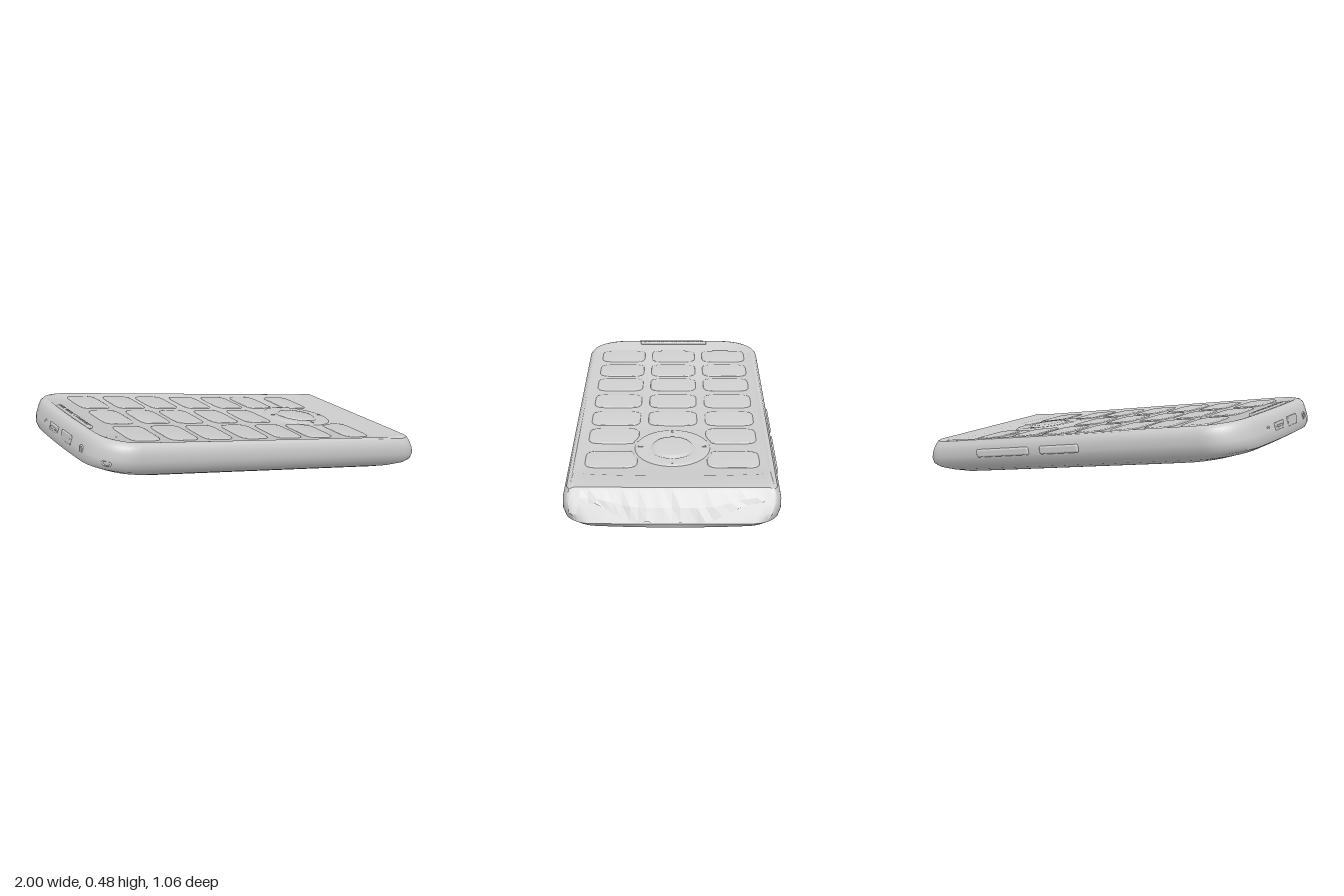
import * as THREE from 'three';
import { toCreasedNormals } from 'three/addons/utils/BufferGeometryUtils.js';
import { RoundedBoxGeometry } from 'three/addons/geometries/RoundedBoxGeometry.js';

const grey = new THREE.MeshStandardMaterial({ color: 0xcccccc });
const cutAt = (y) => 0.919 + (0.012 - y) * 0.786; // sloping cut across the +x end

// Rounded outline with bowed ends, counter-clockwise in (x, z)
function outline(x0, x1, w, rl, rr) {
  const pts = [];
  const corner = (cx, cz, r, start) => {
    for (let i = 0; i <= 10; i++) {
      const a = start + (i / 10) * Math.PI / 2;
      pts.push([cx + r * Math.cos(a), cz + r * Math.sin(a)]);
    }
  };
  const end = (x, from, to) => {
    for (let i = 1; i < 8; i++) pts.push([x, from + (to - from) * i / 8]);
  };
  corner(x1 - rr, w - rr, rr, 0);
  corner(x0 + rl, w - rl, rl, Math.PI / 2);
  end(x0, w - rl, rl - w);
  corner(x0 + rl, rl - w, rl, Math.PI);
  corner(x1 - rr, rr - w, rr, Math.PI * 1.5);
  end(x1, rr - w, w - rr);
  const mid = (x0 + x1) / 2, half = (x1 - x0) / 2;
  return pts.map(([x, z]) => {
    const t = (x - mid) / half;
    return [x - 0.025 * t ** 9 * (z / w) ** 2, z];
  });
}

// Shell lofted from outlines stacked from the belly up to the key panel
function shellGeometry() {
  const levels = [ // y, x0, x1, half width, left radius, right radius
    [-0.207, -0.58, 0.79, 0.28, 0.16, 0.12],
    [-0.204, -0.68, 0.84, 0.35, 0.18, 0.13],
    [-0.192, -0.83, 0.90, 0.415, 0.20, 0.14],
    [-0.172, -0.925, 0.96, 0.465, 0.21, 0.14],
    [-0.150, -0.98, 1.02, 0.495, 0.21, 0.13],
    [-0.125, -0.99, 1.04, 0.515, 0.21, 0.12],
    [-0.090, -0.988, 1.04, 0.526, 0.21, 0.12],
    [-0.050, -0.980, 1.02, 0.527, 0.21, 0.11],
    [-0.022, -0.972, 1.00, 0.521, 0.20, 0.10],
    [-0.006, -0.958, 0.98, 0.508, 0.19, 0.09],
    [0.000, -0.938, 0.96, 0.492, 0.18, 0.08],
    [-0.001, -0.928, 0.79, 0.485, 0.17, 0.06],
    [-0.007, -0.918, 0.775, 0.474, 0.16, 0.05],
  ];
  const pos = [], idx = [];
  let n = 0;
  levels.forEach(([y, x0, x1, w, rl, rr], k) => {
    const ring = outline(x0, x1, w, rl, rr);
    n = ring.length;
    for (const [x, z] of ring) {
      const lift = k > 8 ? 0.012 * THREE.MathUtils.smoothstep(x, 0.84, 0.92) : 0;
      pos.push(Math.min(x, cutAt(y + lift)), y + lift, z);
    }
  });
  const top = (levels.length - 1) * n, c = levels.length * n;
  pos.push(0, levels[0][0], 0, 0, levels.at(-1)[0], 0);
  for (let j = 0; j < n; j++) {
    const j1 = (j + 1) % n;
    for (let k = 0; k < levels.length - 1; k++) {
      const a = k * n + j, b = k * n + j1;
      idx.push(a, a + n, b, b, a + n, b + n);
    }
    idx.push(c, j, j1, c + 1, top + j1, top + j);
  }
  const g = new THREE.BufferGeometry();
  g.setAttribute('position', new THREE.Float32BufferAttribute(pos, 3));
  g.setIndex(idx);
  return toCreasedNormals(g, 0.6);
}

// Uneven facets of the cut end, deeper in the middle than at the sides
function cutFaceGeometry() {
  let seed = 7;
  const rnd = () => (seed = (seed * 16807) % 2147483647) / 2147483647;
  const pos = [], idx = [], strips = 22;
  for (let i = 0; i <= strips; i++) {
    const z = -0.44 + 0.88 * i / strips;
    const low = -0.125 + 0.075 * THREE.MathUtils.smoothstep(Math.abs(z), 0.14, 0.42);
    [0.008, low * 0.5, low].forEach((y, k) => {
      const out = k === 1 ? 0.003 + 0.007 * rnd() : 0.001;
      pos.push(cutAt(y) + out, y + (k === 2 ? 0.012 * rnd() : 0), z);
    });
    if (i < strips) for (let k = 0; k < 2; k++) {
      const a = i * 3 + k;
      idx.push(a, a + 3, a + 1, a + 1, a + 3, a + 4);
    }
  }
  const g = new THREE.BufferGeometry();
  g.setAttribute('position', new THREE.Float32BufferAttribute(pos, 3));
  g.setIndex(idx);
  g.computeVertexNormals();
  return g;
}

// Soft key pad; points falling inside the control wheel are pushed clear of it
const wheelX = 0.492, wheelR = 0.19;
function keyGeometry(cx, cz, w, d) {
  const bevel = 0.012, pts = [];
  for (let i = 0; i < 48; i++) {
    const a = (i / 48) * Math.PI * 2, c = Math.cos(a), s = Math.sin(a);
    const p = new THREE.Vector2(
      cx + (w / 2 - bevel) * Math.sign(c) * Math.abs(c) ** 0.36,
      -cz + (d / 2 - bevel) * Math.sign(s) * Math.abs(s) ** 0.36);
    const dx = p.x - wheelX, r = Math.hypot(dx, p.y), clear = wheelR + 0.03;
    if (r < clear) p.set(wheelX + dx * clear / r, p.y * clear / r);
    pts.push(p);
  }
  const g = new THREE.ExtrudeGeometry(new THREE.Shape(pts), {
    depth: 0.004, bevelSize: bevel, bevelThickness: 0.006, bevelSegments: 3,
  });
  return toCreasedNormals(g.rotateX(-Math.PI / 2), 0.7);
}

export function createModel() {
  const model = new THREE.Group();
  model.name = 'handset';
  const body = new THREE.Group();
  body.name = 'tiltedBody';
  body.rotation.z = -0.155;
  body.position.y = 0.335;
  model.add(body);
  const add = (name, geo, x = 0, y = 0, z = 0, mat = grey) => {
    const m = new THREE.Mesh(geo, mat);
    m.name = name;
    m.position.set(x, y, z);
    body.add(m);
    return m;
  };
  const block = (name, w, h, d, r, x, y, z) =>
    add(name, new RoundedBoxGeometry(w, h, d, 3, r), x, y, z);

  add('shell', shellGeometry());
  const rough = grey.clone();
  rough.flatShading = true;
  rough.side = THREE.DoubleSide;
  add('cutEndFace', cutFaceGeometry(), 0, 0, 0, rough);

  // Three rows of keys; the middle row stops at the control wheel
  [-0.70, -0.485, -0.28, -0.06, 0.157, 0.362, 0.615].forEach((x, i) => {
    for (const row of [-1, 0, 1]) {
      if (row === 0 && i > 4) continue;
      add('key', keyGeometry(x, row * 0.308, 0.175, 0.265), 0, -0.012, 0);
    }
  });

  // Control wheel with centre button and four direction marks
  const profile = [[0.195, -0.008], [0.188, -0.002], [0.175, 0.001], [0.125, 0.001],
    [0.115, -0.004], [0.108, -0.003], [0.102, 0.004], [0.09, 0.006], [0, 0.008]];
  const wheel = new THREE.LatheGeometry(profile.map((p) => new THREE.Vector2(...p)), 64);
  add('controlWheel', wheel, wheelX, 0, 0);
  for (let i = 0; i < 4; i++) {
    const a = i * Math.PI / 2;
    const mark = block('directionMark', 0.024, 0.006, 0.009, 0.002,
      wheelX + 0.165 * Math.cos(a), 0.001, 0.165 * Math.sin(a));
    mark.rotation.y = -a;
  }

  // Earpiece bar with ribs
  block('earpieceBar', 0.032, 0.018, 0.42, 0.007, -0.908, -0.001, 0);
  for (let i = 0; i < 14; i++) {
    block('earpieceRib', 0.016, 0.006, 0.014, 0.002, -0.908, 0.007, -0.182 + i * 0.028);
  }

  // Buttons on the -z side
  block('rockerButton', 0.36, 0.045, 0.03, 0.012, 0.44, -0.075, -0.522);
  block('sideButton', 0.25, 0.045, 0.03, 0.012, 0.06, -0.075, -0.522);

  // Sockets on the -x end
  block('portFrame', 0.012, 0.04, 0.11, 0.005, -0.984, -0.08, -0.06);
  block('portTongue', 0.012, 0.012, 0.07, 0.004, -0.988, -0.08, -0.06);
  block('endCover', 0.012, 0.05, 0.12, 0.005, -0.984, -0.08, 0.11);
  for (const z of [-0.19, 0.29]) {
    const rim = add('socketRim', new THREE.TorusGeometry(0.016, 0.005, 8, 20), -0.979, -0.085, z);
    rim.rotation.y = Math.PI / 2;
  }

  // Strap eyelet at the +z rear corner
  const eyelet = add('strapEyelet', new THREE.TorusGeometry(0.022, 0.006, 8, 20), -0.915, -0.11, 0.455);
  eyelet.rotation.y = -Math.PI / 4;
  eyelet.scale.y = 0.6;

  // Speaker slots on the belly
  for (let r = 0; r < 3; r++) for (let c = 0; c < 8; c++) {
    block('speakerSlot', 0.032, 0.006, 0.016, 0.002, 0.49 + r * 0.05, -0.206, -0.16 + c * 0.046);
  }
  return model;
}
